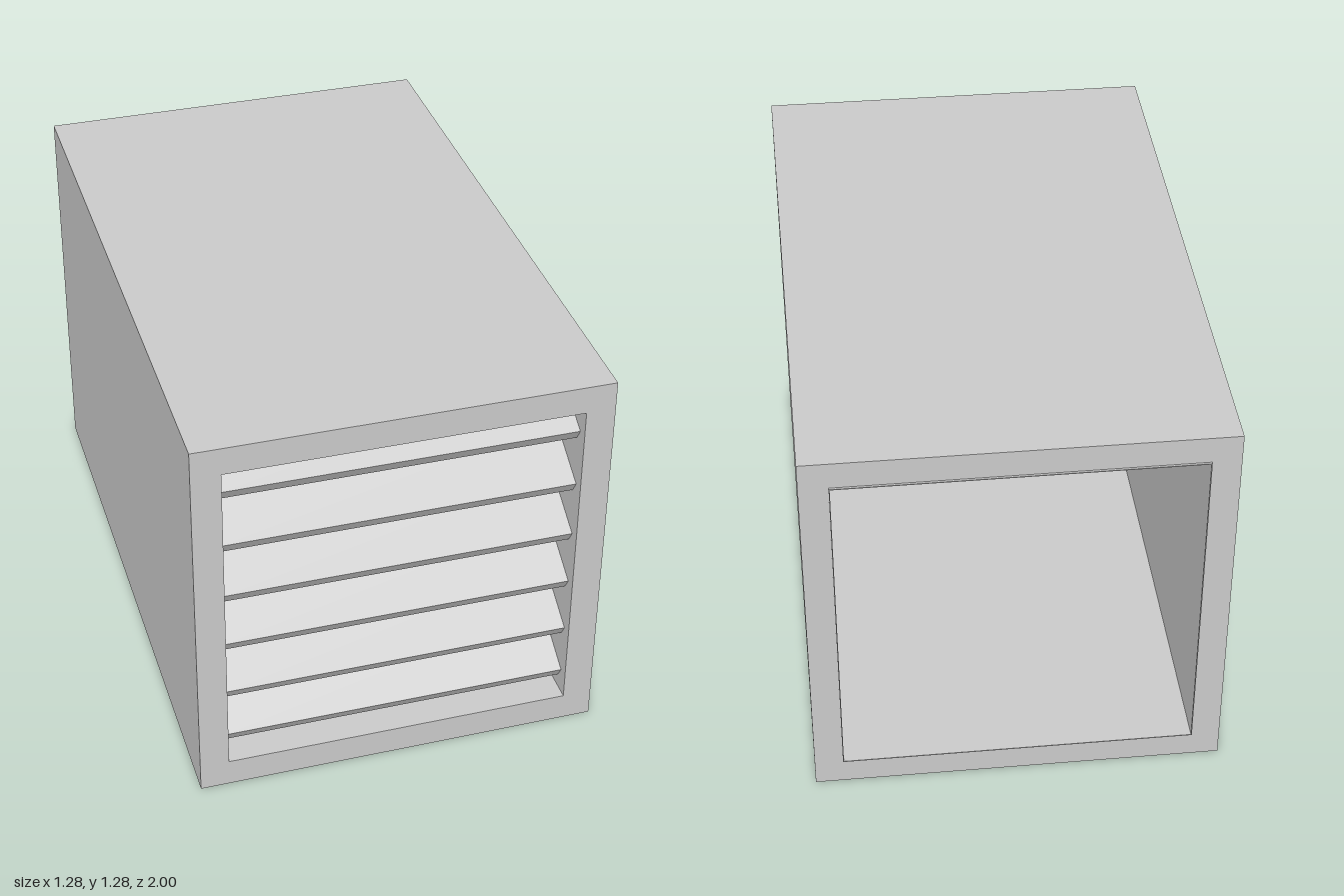
import * as THREE from 'three';

const W = 1.276, H = 1.276;          // outer casing
const IW = 1.094, IH = 1.096;        // clear opening
const MID = H / 2;

// Rectangular ring in the xy plane, extruded from zBack to zFront
function ring(w, h, iw, ih, zBack, zFront) {
  const rect = (path, a, b) => path
    .moveTo(-a / 2, -b / 2).lineTo(a / 2, -b / 2)
    .lineTo(a / 2, b / 2).lineTo(-a / 2, b / 2).closePath();
  const shape = new THREE.Shape();
  rect(shape, w, h);
  const hole = new THREE.Path();
  rect(hole, iw, ih);
  shape.holes.push(hole);
  const geo = new THREE.ExtrudeGeometry(shape, { depth: zFront - zBack, bevelEnabled: false });
  return geo.translate(0, MID, zBack);
}

export function createModel() {
  const group = new THREE.Group();
  const material = new THREE.MeshStandardMaterial({ color: 0xcccccc });
  const add = (name, geo) => {
    const mesh = new THREE.Mesh(geo, material);
    mesh.name = name;
    group.add(mesh);
    return mesh;
  };

  // Open duct casing and the thin lip around its rear opening
  add('casing', ring(W, H, IW, IH, -0.993, 1));
  add('rearLip', ring(IW + 0.006, IH + 0.006, IW, IH, -1, -0.993));

  // Louvre slats sloping down towards the front
  const tilt = Math.PI / 6, length = 0.214, thick = 0.043;
  const slatGeo = new THREE.BoxGeometry(IW, thick, length);
  slatGeo.translate(0, -thick / 2, -length / 2);   // pivot on the upper front edge
  [1.098, 0.905, 0.717, 0.532, 0.344, 0.171].forEach((y, i) => {
    const slat = add(`louvreSlat${i + 1}`, slatGeo);
    slat.position.set(0, y, 0.966);
    slat.rotation.x = tilt;
  });

  return group;
}
